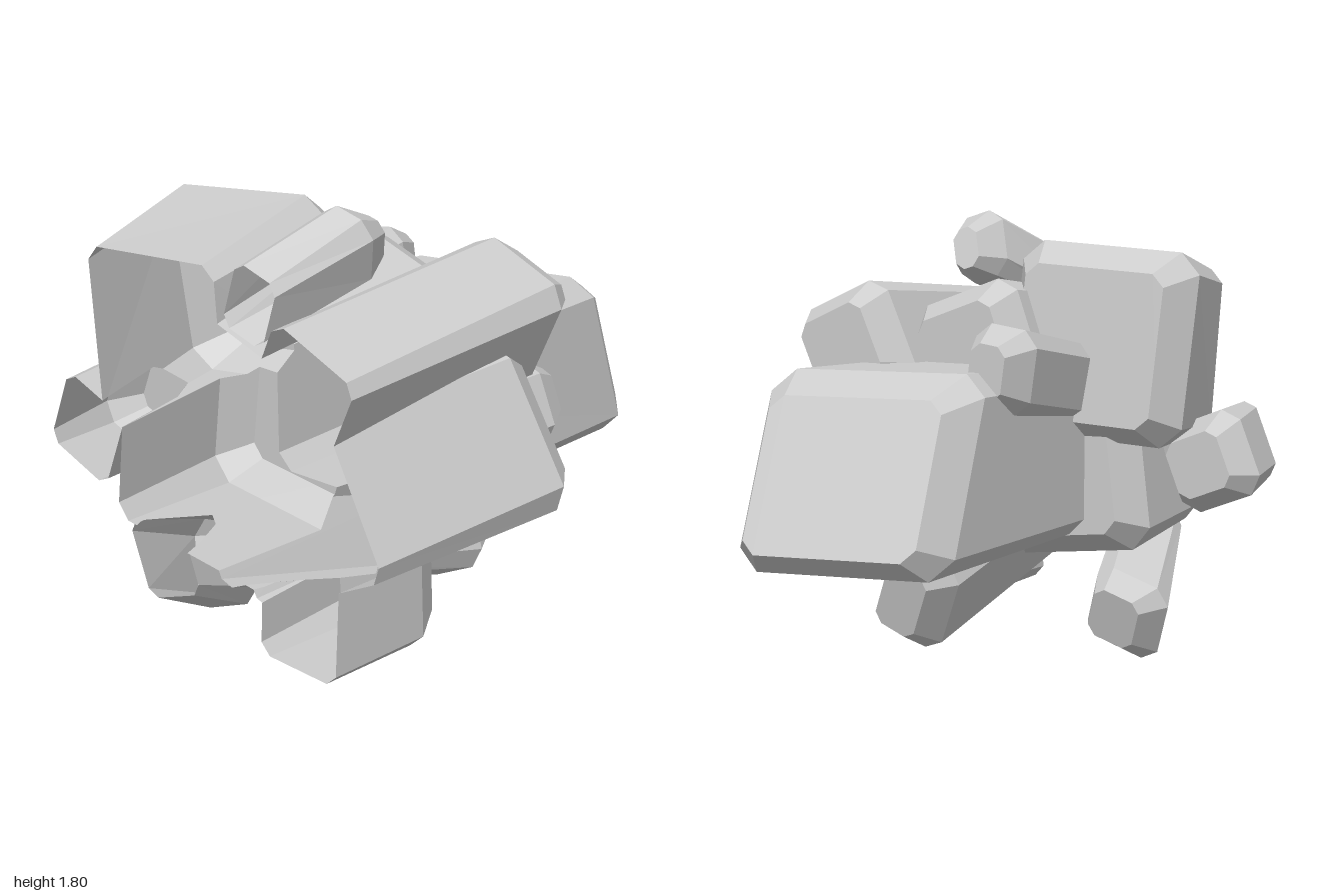
import * as THREE from 'three';

const stone = new THREE.MeshStandardMaterial({
  color: 0xcccccc, flatShading: true, side: THREE.DoubleSide,
});

// Eight-sided outline: a turned rectangle with cut corners, on a tilted plane.
function ring([cx, cy], w, h, cut, degrees, z, tiltX, tiltY) {
  const a = THREE.MathUtils.degToRad(degrees), cos = Math.cos(a), sin = Math.sin(a);
  const side = [[w, cut - h], [w, h - cut], [w - cut, h], [cut - w, h]];
  const outline = [...side, ...side.map(([u, v]) => [-u, -v])];
  return outline.map(([u, v]) => {
    const dx = u * cos - v * sin, dy = u * sin + v * cos;
    return new THREE.Vector3(cx + dx, cy + dy, z + tiltX * dx + tiltY * dy);
  });
}

// Faces of a bevelled rock running back from its open end at z = 1 to a closed cap.
// front, back: centres of both ends; w, h: half sizes of the thick back end.
function rock(name, front, back, [w, h], angle, cap, tiltY = 0, tiltX = 0) {
  const cut = 0.045 + 0.1 * Math.min(w, h);
  const taper = 0.9;
  const rings = [
    ring(front, w * taper, h * taper, cut * 0.65, angle, 1, 0, 0),
    ring(back, w, h, cut, angle, cap + 0.13, tiltX, tiltY),
    ring(back, w - cut, h - cut, cut * 0.6, angle, cap, tiltX, tiltY),
  ];
  const faces = [];
  for (let r = 0; r < 2; r++) {
    rings[r].forEach((a, i) => {
      const j = (i + 1) % 8;
      const b = rings[r][j], c = rings[r + 1][j], d = rings[r + 1][i];
      faces.push([a, d, b], [b, d, c]);
    });
  }
  faces.push([...rings[2]].reverse());
  const planes = faces.map(([a, b, c]) => new THREE.Plane().setFromCoplanarPoints(a, b, c));
  return { name, faces, planes };
}

// Splits a polygon by a plane into its outer and inner parts.
function split(polygon, plane) {
  const outer = [], inner = [];
  polygon.forEach((p, i) => {
    const q = polygon[(i + 1) % polygon.length];
    const dp = plane.distanceToPoint(p), dq = plane.distanceToPoint(q);
    if (dp >= 0) outer.push(p);
    if (dp <= 0) inner.push(p);
    if (dp * dq < 0) {
      const crossing = p.clone().lerp(q, dp / (dp - dq));
      outer.push(crossing);
      inner.push(crossing);
    }
  });
  return [outer, inner];
}

// Returns the pieces of a polygon that lie outside a convex rock.
function trim(polygon, planes) {
  const kept = [];
  let rest = polygon;
  for (const plane of planes) {
    const [outer, inner] = split(rest, plane);
    if (inner.length < 3) return [polygon];
    if (outer.length > 2) kept.push(outer);
    rest = inner;
  }
  return kept;
}

// Mesh of one rock without the parts buried in its neighbours.
function buildRock(self, all) {
  let polygons = self.faces;
  for (const other of all) {
    if (other !== self) polygons = polygons.flatMap((p) => trim(p, other.planes));
  }
  const points = [];
  for (const p of polygons) {
    for (let i = 1; i < p.length - 1; i++) points.push(p[0], p[i], p[i + 1]);
  }
  const geometry = new THREE.BufferGeometry().setFromPoints(points);
  geometry.computeVertexNormals();
  const mesh = new THREE.Mesh(geometry, stone);
  mesh.name = self.name;
  return mesh;
}

export function createModel() {
  const group = new THREE.Group();
  group.name = 'rockCluster';

  const large = [
    rock('upperRightRock', [-0.26, 1.25], [-0.38, 1.31], [0.36, 0.38], 4, 0.23, 0.08, -0.15),
    rock('longCentreRock', [0.03, 0.88], [0.05, 0.9], [0.4, 0.36], 0, -0.82, 0.37, -0.25),
    rock('upperLeftRock', [0.43, 1.22], [0.47, 1.29], [0.22, 0.22], -24, -0.21),
    rock('lowerLeftRock', [0.39, 0.78], [0.48, 0.82], [0.36, 0.33], 27, 0, 0.08),
    rock('lowerRightRock', [-0.08, 0.84], [-0.1, 0.84], [0.43, 0.4], -7, 0.3),
    rock('upperCentreRock', [0.03, 1.2], [0.04, 1.29], [0.24, 0.23], -20, 0),
  ];
  const small = [
    rock('rightSideRock', [-0.66, 0.84], [-0.72, 0.83], [0.18, 0.18], -22, 0.53),
    rock('topRock', [0.21, 1.51], [0.32, 1.66], [0.11, 0.14], -18, 0.49, 0.3),
    rock('lowestRock', [-0.26, 0.43], [-0.42, 0.2], [0.16, 0.17], 20, 0.4, -0.3),
    rock('undersideRock', [0.1, 0.62], [0.17, 0.33], [0.15, 0.2], 25, -0.25, -0.25),
    rock('bottomLeftRock', [0.42, 0.41], [0.44, 0.42], [0.2, 0.24], -3, 0.46, 0.1),
    rock('backRightRock', [-0.2, 1.05], [-0.3, 1.26], [0.13, 0.16], 8, -0.4),
    rock('backLeftRock', [0.4, 0.87], [0.48, 0.88], [0.13, 0.16], 22, -0.32),
  ];
  const all = [...large, ...small];
  for (const self of all) group.add(buildRock(self, all));
  return group;
}
